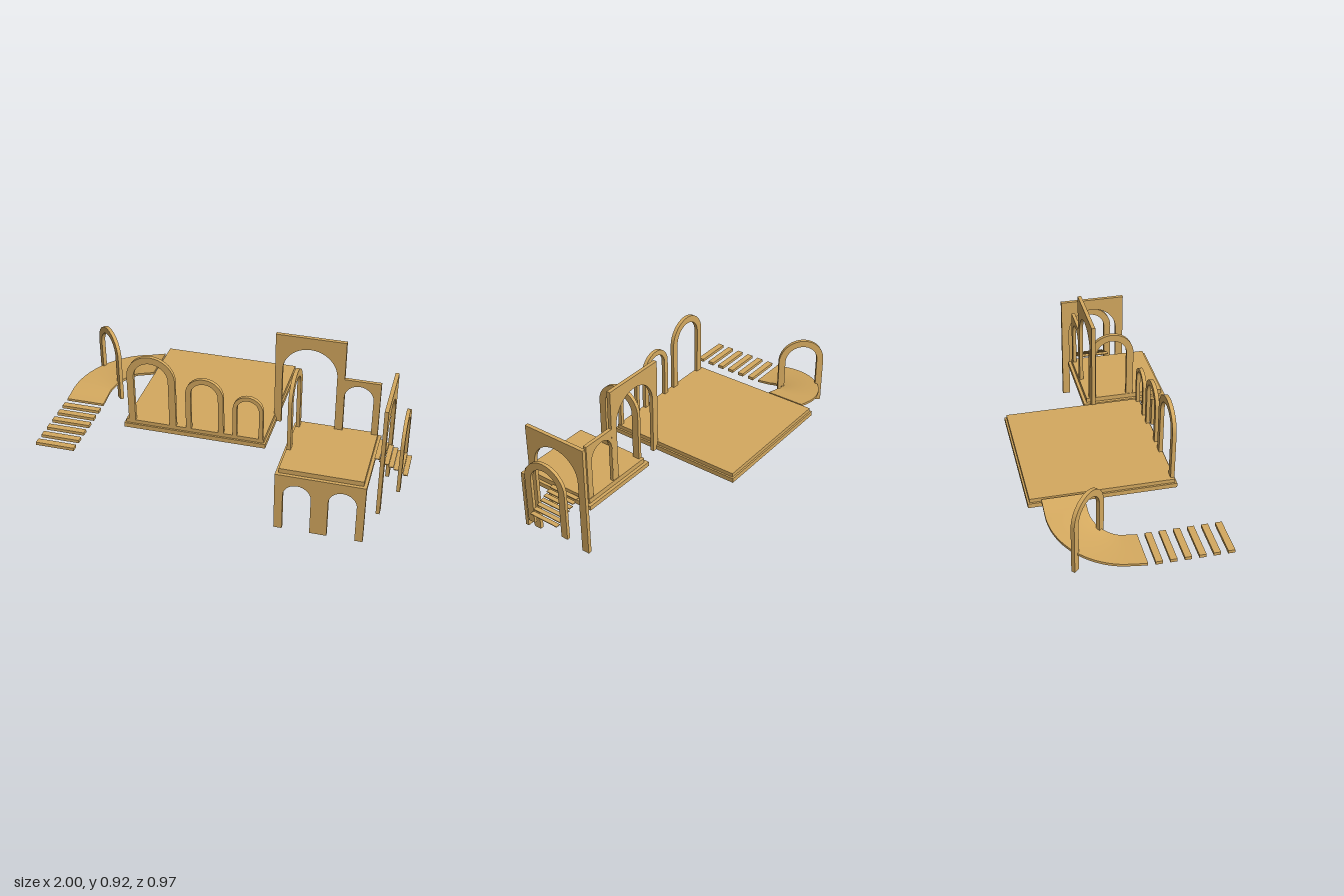
import * as THREE from 'three';
import { toCreasedNormals } from 'three/addons/utils/BufferGeometryUtils.js';

export function createModel() {
  const group = new THREE.Group();
  const wood = new THREE.MeshStandardMaterial({ color: 0xd4a95f });

  function add(name, geometry, x = 0, y = 0, z = 0, turn = 0) {
    const mesh = new THREE.Mesh(geometry, wood);
    mesh.name = name;
    mesh.position.set(x, y, z);
    mesh.rotation.y = turn;
    group.add(mesh);
    return mesh;
  }

  // Box given by its limits on each axis
  function slab(name, x0, x1, y0, y1, z0, z1) {
    add(name, new THREE.BoxGeometry(x1 - x0, y1 - y0, z1 - z0),
      (x0 + x1) / 2, (y0 + y1) / 2, (z0 + z1) / 2);
  }

  function extrude(shape, depth) {
    const g = new THREE.ExtrudeGeometry(shape, { depth, bevelEnabled: false, curveSegments: 28 });
    g.translate(0, 0, -depth / 2);
    return toCreasedNormals(g, 0.5);
  }

  // Cuts a round-topped doorway into the lower edge, walking right to left
  function doorway(shape, c, r, top, bottom) {
    shape.lineTo(c + r, bottom);
    shape.lineTo(c + r, top - r);
    shape.absarc(c, top - r, r, 0, Math.PI, false);
    shape.lineTo(c - r, bottom);
  }

  // Freestanding round arch of constant band width
  function arch(R, r, bottom, top, depth = 0.021) {
    const s = new THREE.Shape();
    s.moveTo(-R, bottom);
    s.lineTo(-R, top - R);
    s.absarc(0, top - R, R, Math.PI, 0, true);
    s.lineTo(R, bottom);
    doorway(s, 0, r, top - (R - r), bottom);
    s.closePath();
    return extrude(s, depth);
  }

  // Rectangular wall with doorways listed from right to left as [centre, radius, top]
  function wall(x0, x1, bottom, top, doors, depth = 0.021) {
    const s = new THREE.Shape();
    s.moveTo(x0, bottom);
    s.lineTo(x0, top);
    s.lineTo(x1, top);
    s.lineTo(x1, bottom);
    for (const [c, r, t] of doors) doorway(s, c, r, t, bottom);
    s.closePath();
    return extrude(s, depth);
  }

  // Main platform, two tiers
  slab('mainPlatformBase', -0.545, 0.245, 0.37, 0.396, -0.485, 0.305);
  slab('mainPlatformTop', -0.535, 0.235, 0.396, 0.418, -0.475, 0.295);

  // Row of three shrinking arches along the front edge
  for (const [x, R, r, top] of [
    [-0.385, 0.134, 0.096, 0.825],
    [-0.091, 0.104, 0.075, 0.737],
    [0.147, 0.082, 0.06, 0.668],
  ]) add('frontArch', arch(R, r, 0.418, top), x, 0, 0.285);

  // Small platform and its two-arched supporting wall
  slab('smallPlatformBase', 0.34, 0.82, 0.325, 0.351, -0.003, 0.465);
  slab('smallPlatformTop', 0.357, 0.803, 0.351, 0.378, 0.015, 0.465);
  add('supportWall', wall(0.34, 0.82, 0, 0.351, [[0.702, 0.075, 0.295], [0.46, 0.075, 0.295]]), 0, 0, 0.473);

  // Walls behind the small platform
  add('tallBackWall', wall(0.23, 0.607, 0.372, 0.92, [[0.418, 0.148, 0.852]]), 0, 0, 0.029);
  add('lowBackWall', wall(0.576, 0.802, 0.372, 0.7, [[0.688, 0.078, 0.668]], 0.02), 0, 0, 0.029);

  // Arches and wall facing sideways
  add('platformArch', arch(0.13, 0.09, 0.378, 0.785), 0.37, 0, 0.162, Math.PI / 2);
  add('gateWall', wall(-0.19, 0.19, 0.095, 0.743, [[0, 0.146, 0.677]]), 0.872, 0, 0.16, Math.PI / 2);
  add('gateArch', arch(0.134, 0.093, 0.22, 0.632, 0.019), 0.962, 0, 0.161, Math.PI / 2);

  // Thin descending steps
  for (let i = 0; i < 7; i++) {
    const x = 0.82 + i * 0.0257, y = 0.378 - i * 0.0127;
    slab('step', x, x + 0.0257, y - 0.005, y, 0.07, 0.25);
  }

  // Curved ramp: a long box bent round a quarter turn while it rises
  const radius = 0.245, run = 0.09, arc = radius * Math.PI / 2, length = run + arc + 0.1;
  const ramp = new THREE.BoxGeometry(length, 0.014, 0.22, 48, 1, 6);
  const p = ramp.attributes.position;
  for (let i = 0; i < p.count; i++) {
    const s = p.getX(i) + length / 2;
    const angle = THREE.MathUtils.clamp((s - run) / radius, 0, Math.PI / 2);
    const r = radius - p.getZ(i);
    p.setXYZ(i,
      -0.645 - r * Math.cos(angle) + Math.max(0, s - run - arc),
      0.291 + 0.117 * Math.pow(s / length, 1.25) + p.getY(i),
      -0.06 - r * Math.sin(angle) + Math.max(0, run - s));
  }
  add('curvedRamp', toCreasedNormals(ramp, 0.5));

  // Arch standing diagonally across the ramp
  add('rampArch', arch(0.133, 0.095, 0.235, 0.645), -0.822, 0, -0.234, -Math.PI / 4);

  // Stepping slats leading away from the ramp
  for (let i = 0; i < 6; i++) {
    const z = 0.069 + i * 0.0745;
    slab('slat', -1, -0.78, 0.28, 0.298, z, z + 0.036);
  }

  return group;
}
